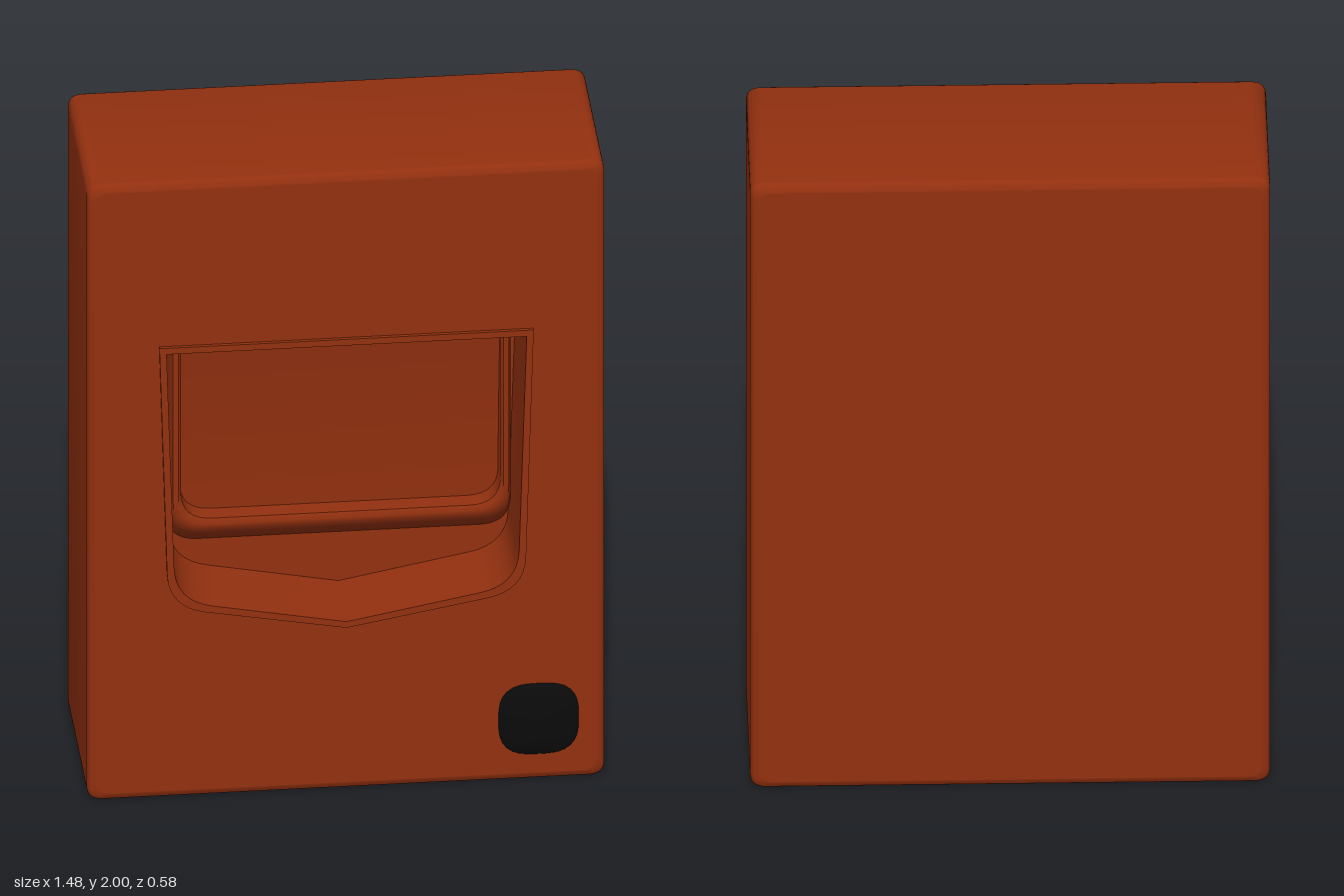
import * as THREE from 'three';
import { toCreasedNormals } from 'three/addons/utils/BufferGeometryUtils.js';

const FRONT = 0.277, BACK = -0.29, RIM = 0.288, WALL = 0.06;

// Polygon [x, y, cornerRadius], counter-clockwise, with its corners rounded
function rounded(corners, steps = 8) {
  const points = [];
  corners.forEach(([x, y, r], i) => {
    const p = new THREE.Vector2(x, y);
    if (!r) return points.push(p);
    const toward = (c) => new THREE.Vector2(c[0], c[1]).sub(p).setLength(r).add(p);
    const prev = corners.at(i - 1), next = corners[(i + 1) % corners.length];
    points.push(...new THREE.QuadraticBezierCurve(toward(prev), p, toward(next)).getPoints(steps));
  });
  return points;
}

// Skin over closed outlines [points, z]; faces outward when z rises, inward when it falls
function loft(rings, crease = 0.7) {
  const n = rings[0][0].length, position = [], index = [];
  rings.forEach(([points, z], i) => points.forEach((p, j) => {
    position.push(p.x, p.y, z);
    if (i === rings.length - 1) return;
    const a = i * n + j, b = i * n + (j + 1) % n;
    index.push(a, b, b + n, a, b + n, a + n);
  }));
  const geometry = new THREE.BufferGeometry();
  geometry.setAttribute('position', new THREE.Float32BufferAttribute(position, 3));
  geometry.setIndex(index);
  return toCreasedNormals(geometry, crease);
}

const bodyOutline = (i) => rounded([
  [-0.74 + i, i, 0.04], [0.74 - i, i, 0.04], [0.74 - i, 2 - i, 0.04], [-0.74 + i, 2 - i, 0.04]]);

// Opening with a shallow V at the bottom
const openingOutline = (i) => rounded([
  [0, 0.532 + i, 0], [0.51 - i, 0.625 + i, 0.11], [0.535 - i, 1.47 - i, 0],
  [-0.535 + i, 1.47 - i, 0], [-0.51 + i, 0.625 + i, 0.11]]);

const panelOutline = (w, bottom) => rounded([
  [-w, bottom, 0.09], [w, bottom, 0.09], [w, 1.445, 0], [-w, 1.445, 0]]);

export function createModel() {
  const group = new THREE.Group();
  const shell = new THREE.MeshStandardMaterial({ color: 0x92300f });
  const black = new THREE.MeshStandardMaterial({ color: 0x0b0b0b });
  const add = (name, geometry, material = shell) => {
    const mesh = new THREE.Mesh(geometry, material);
    mesh.name = name;
    group.add(mesh);
    return mesh;
  };

  // Housing sides with softly rounded front and back edges
  const r = 0.025, rings = [];
  for (let k = 0; k <= 5; k++) {
    const a = (k / 5) * Math.PI / 2;
    rings.push([bodyOutline(r * (1 - Math.sin(a))), BACK + r * (1 - Math.cos(a))]);
  }
  for (let k = 5; k >= 0; k--) {
    const a = (k / 5) * Math.PI / 2;
    rings.push([bodyOutline(r * (1 - Math.sin(a))), FRONT - r * (1 - Math.cos(a))]);
  }
  add('housingSides', loft(rings));

  // Front face with the opening, and the plain back
  const face = new THREE.Shape(bodyOutline(r));
  face.holes.push(new THREE.Path(openingOutline(0.01)));
  add('frontFace', new THREE.ShapeGeometry(face)).position.z = FRONT;
  const back = add('backFace', new THREE.ShapeGeometry(new THREE.Shape(bodyOutline(r))));
  back.rotation.y = Math.PI;
  back.position.z = BACK;

  // Thin raised rim around the opening
  const rim = new THREE.Shape(openingOutline(0));
  rim.holes.push(new THREE.Path(openingOutline(0.02)));
  add('openingRim', new THREE.ExtrudeGeometry(rim, { depth: 0.02, bevelEnabled: false }))
    .position.z = RIM - 0.02;

  // Recess behind the opening
  add('recessWalls', loft([[openingOutline(0.02), RIM], [openingOutline(0.028), WALL]]));
  add('recessBack', new THREE.ShapeGeometry(new THREE.Shape(openingOutline(0.028)))).position.z = WALL;

  // Lip curving out of the recess back around the inner panel
  add('panelLip', loft([
    [panelOutline(0.492, 0.72), WALL], [panelOutline(0.49, 0.74), 0.085],
    [panelOutline(0.487, 0.765), 0.11], [panelOutline(0.48, 0.79), 0.13],
    [panelOutline(0.465, 0.805), 0.133], [panelOutline(0.457, 0.82), 0.125],
    [panelOutline(0.455, 0.822), WALL]], 0.9));

  // Inner panel, curving forward toward the top
  const panel = new THREE.PlaneGeometry(0.94, 0.65, 1, 16);
  panel.translate(0, 1.125, 0);
  const pp = panel.attributes.position;
  for (let i = 0; i < pp.count; i++) {
    const t = (pp.getY(i) - 0.8) / 0.65;
    pp.setZ(i, 0.07 + 0.05 * t * t);
  }
  panel.computeVertexNormals();
  add('innerPanel', panel);

  // Domed button with a rounded-square outline
  const dome = new THREE.SphereGeometry(1, 40, 24);
  dome.rotateX(Math.PI / 2);
  const dp = dome.attributes.position;
  for (let i = 0; i < dp.count; i++) {
    const x = dp.getX(i), y = dp.getY(i), a = Math.atan2(y, x);
    const s = 0.117 * (Math.abs(Math.cos(a)) ** 3 + Math.abs(Math.sin(a)) ** 3) ** (-1 / 3);
    dp.setXYZ(i, x * s, y * s, dp.getZ(i) * 0.022);
  }
  dome.computeVertexNormals();
  add('button', dome, black).position.set(0.55, 0.2, 0.273);

  return group;
}
